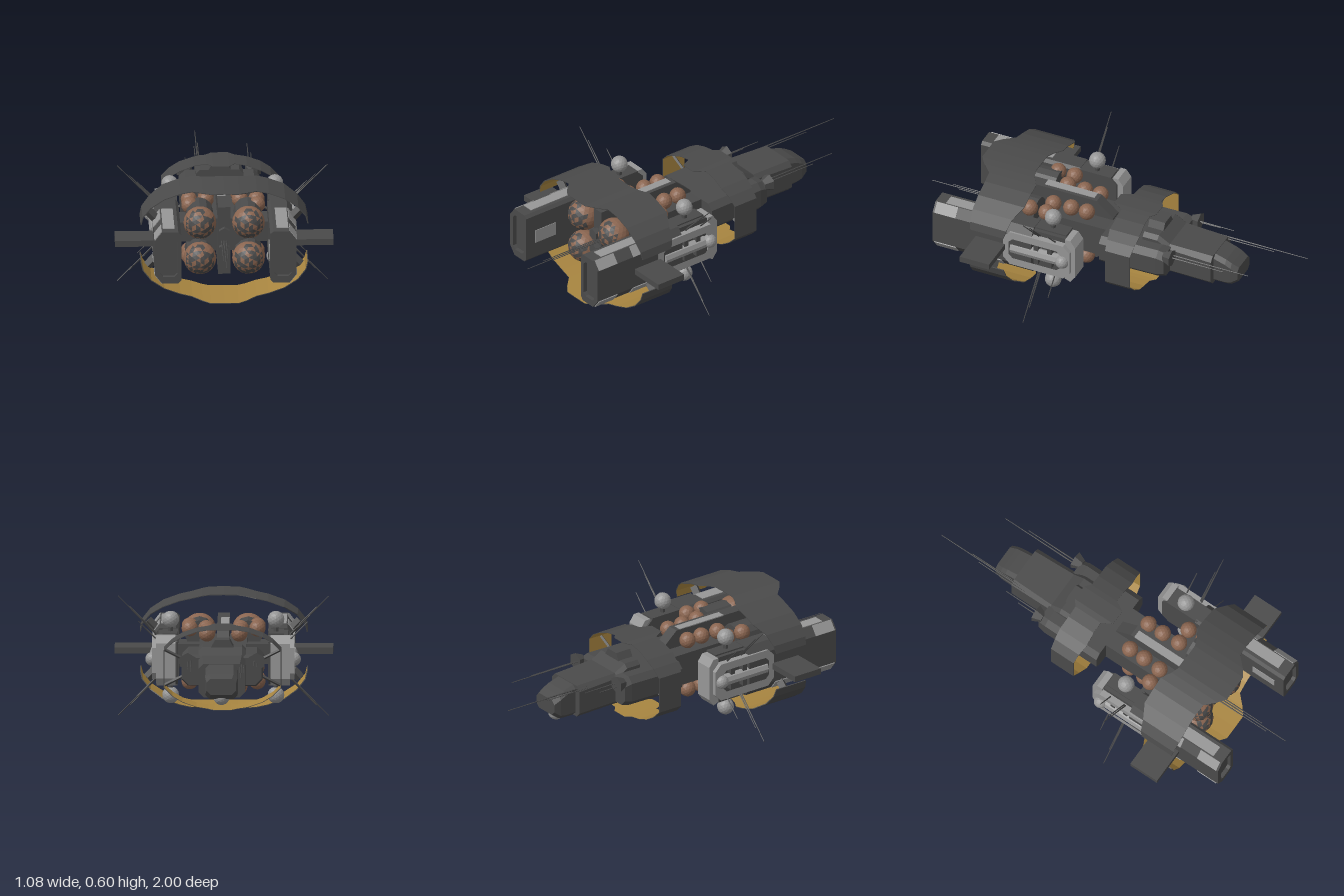
import * as THREE from 'three';

const mat = (name, color) => Object.assign(new THREE.MeshStandardMaterial({ color, flatShading: true }), { name });
const MID = 0.307; // height of the ship's long axis

export function createModel() {
  const dark = mat('dark hull', 0x4a4a4a);
  const grey = mat('light grey panel', 0x969696);
  const brown = mat('brown tank', 0x8a6550);
  const gold = mat('gold lining', 0xa88540);
  const ship = new THREE.Group();
  ship.name = 'spaceship';

  const add = (name, geo, material, parent = ship) => {
    const m = new THREE.Mesh(geo, material);
    m.name = name;
    parent.add(m);
    return m;
  };
  // box given by its limits
  const box = (name, material, x0, x1, y0, y1, z0, z1, parent) =>
    add(name, new THREE.BoxGeometry(x1 - x0, y1 - y0, z1 - z0)
      .translate((x0 + x1) / 2, (y0 + y1) / 2, (z0 + z1) / 2), material, parent);
  const ball = (name, material, r, x, y, z, parent) =>
    add(name, new THREE.IcosahedronGeometry(r, 2).translate(x, y, z), material, parent);
  // bar between two points
  const bar = (name, material, a, b, r, sides, parent, rEnd = r) => {
    const p = new THREE.Vector3(...a), q = new THREE.Vector3(...b);
    const m = add(name, new THREE.CylinderGeometry(rEnd, r, p.distanceTo(q), sides), material, parent);
    m.position.copy(p).lerp(q, 0.5);
    m.quaternion.setFromUnitVectors(new THREE.Vector3(0, 1, 0), q.sub(p).normalize());
  };
  const extrude = (pts, depth, hole) => {
    const s = new THREE.Shape(pts.map(p => new THREE.Vector2(...p)));
    if (hole) s.holes.push(new THREE.Path(hole.map(p => new THREE.Vector2(...p))));
    return new THREE.ExtrudeGeometry(s, { depth, bevelEnabled: false });
  };
  // outline in (x, y), extruded along z
  const prismZ = (pts, z0, z1, hole) => extrude(pts, z1 - z0, hole).translate(0, 0, z0);
  // outline in (z, y), extruded along x
  const prismX = (pts, x0, x1, hole) => {
    const flip = a => a && a.map(([z, y]) => [-z, y]);
    return extrude(flip(pts), x1 - x0, flip(hole)).rotateY(Math.PI / 2).translate(x0, 0, 0);
  };
  // rectangle with cut corners
  const cutRect = (x0, x1, y0, y1, c) => [[x0 + c, y0], [x1 - c, y0], [x1, y0 + c], [x1, y1 - c],
    [x1 - c, y1], [x0 + c, y1], [x0, y1 - c], [x0, y0 + c]];
  const fromTriangles = pos => {
    const g = new THREE.BufferGeometry();
    g.setAttribute('position', new THREE.Float32BufferAttribute(pos.flat(), 3));
    g.computeVertexNormals();
    return g;
  };
  // octagonal hull through sections [z, halfWidth, y0, y1, cut], z falling
  const loft = secs => {
    const rings = secs.map(([z, w, y0, y1, c]) => cutRect(-w, w, y0, y1, c).map(([x, y]) => [x, y, z]));
    const pos = [], last = rings[rings.length - 1];
    for (let s = 0; s < rings.length - 1; s++) for (let j = 0; j < 8; j++) {
      const k = (j + 1) % 8, A = rings[s], B = rings[s + 1];
      pos.push(A[j], B[j], A[k], A[k], B[j], B[k]);
    }
    for (let j = 1; j < 7; j++) pos.push(rings[0][0], rings[0][j], rings[0][j + 1], last[0], last[j + 1], last[j]);
    return fromTriangles(pos);
  };
  // thin closed shell from half-profile rows [x, y, z0, z1], dark outside and rim, gold inside
  const shield = (name, half) => {
    const rows = [...half].reverse().concat(half.slice(1).map(([x, ...r]) => [-x, ...r]));
    const corners = rows.map(([x, y, z0, z1]) => {
      const h = y - MID, u = x * 0.988, v = h * 0.988;
      return [[x, h, z0], [x, h, z1], [u, v, z0], [u, v, z1]];
    });
    const out = [], inn = [];
    for (let i = 0; i < rows.length - 1; i++) {
      const [a, b, ai, bi] = corners[i], [c, d, ci, di] = corners[i + 1];
      out.push(a, c, b, b, c, d, b, d, di, b, di, bi, a, ci, c, a, ai, ci);
      inn.push(ai, bi, ci, bi, di, ci);
    }
    const [a, b, ai, bi] = corners[0], [c, d, ci, di] = corners[rows.length - 1];
    out.push(a, b, bi, a, bi, ai, c, di, d, c, ci, di);
    for (const turn of [0, Math.PI]) {
      const g = new THREE.Group();
      g.name = name + (turn ? 'Lower' : 'Upper');
      g.position.y = MID;
      g.rotation.z = turn;
      add('outerSkin', fromTriangles(out), dark, g);
      add('goldLining', fromTriangles(inn), gold, g);
      ship.add(g);
    }
  };
  // mirrored copy across x = 0, with the corner order kept outward
  const mirror = (group, name) => {
    const copy = new THREE.Group();
    copy.name = name;
    for (const m of group.children) {
      m.updateMatrix();
      const src = m.geometry.index ? m.geometry.toNonIndexed() : m.geometry.clone();
      const p = src.applyMatrix4(m.matrix).attributes.position, pos = [];
      for (let i = 0; i < p.count; i += 3)
        for (const j of [i, i + 2, i + 1]) pos.push([-p.getX(j), p.getY(j), p.getZ(j)]);
      const geo = fromTriangles(pos);
      if (Array.isArray(m.material)) geo.groups = m.geometry.groups;
      add(m.name, geo, m.material, copy);
    }
    return copy;
  };

  // shields
  shield('rearShield', [[0, 0.592, 0.405, 0.695], [0.07, 0.591, 0.405, 0.695], [0.11, 0.587, 0.39, 0.665],
    [0.16, 0.58, 0.36, 0.615], [0.22, 0.567, 0.36, 0.61], [0.3, 0.538, 0.36, 0.61],
    [0.365, 0.495, 0.395, 0.61], [0.405, 0.445, 0.41, 0.605], [0.415, 0.405, 0.42, 0.6]]);
  shield('foreShield', [[0, 0.508, -0.24, -0.01], [0.04, 0.508, -0.24, -0.01], [0.07, 0.505, -0.215, -0.065],
    [0.13, 0.495, -0.215, -0.065], [0.2, 0.47, -0.22, -0.06], [0.25, 0.44, -0.215, -0.07],
    [0.29, 0.4, -0.21, -0.075], [0.29, MID, -0.21, -0.075]]);

  // forward hull and nose
  add('foreHull', loft([[0, 0.2, 0.235, 0.39, 0.03], [-0.31, 0.2, 0.24, 0.395, 0.03], [-0.35, 0.195, 0.25, 0.385, 0.03]]), dark);
  add('noseHull', loft([[-0.2, 0.117, 0.22, 0.43, 0.02], [-0.28, 0.117, 0.225, 0.43, 0.02], [-0.34, 0.117, 0.23, 0.395, 0.02],
    [-0.57, 0.115, 0.22, 0.387, 0.025]]), dark);
  add('noseTip', loft([[-0.56, 0.08, 0.22, 0.387, 0.02], [-0.63, 0.08, 0.22, 0.365, 0.02],
    [-0.66, 0.08, 0.225, 0.35, 0.02], [-0.695, 0.073, 0.25, 0.33, 0.02]]), dark);
  ball('noseSensor', grey, 0.04, 0, 0.23, -0.63);
  add('cabin', prismZ([[-0.06, 0.42], [0.06, 0.42], [0.035, 0.465], [-0.035, 0.465]], -0.285, -0.2), dark);

  // central body, spine and nozzles
  box('body', dark, -0.117, 0.117, 0.225, 0.39, -0.05, 0.46);
  add('spine', prismX([[0.56, 0.135], [0.56, 0.48], [0.09, 0.48], [0, 0.4], [0, 0.21], [0.09, 0.135]], -0.03, 0.03), dark);
  add('spinePanel', prismZ([[-0.03, 0.478], [0.012, 0.478], [0.012, 0.483], [-0.03, 0.483]], 0.11, 0.38), grey);
  for (const y of [0.35, 0.265]) bar('spineNozzle', dark, [0, y, 0.54], [0, y, 0.59], 0.03, 6);
  box('crossBeam', dark, -0.24, 0.24, 0.265, 0.365, 0.27, 0.44);

  // forward and rear antennas
  for (const [x, y, z0, z1] of [[-0.1, 0.377, -0.5, -1], [-0.11, 0.37, -0.45, -0.77], [-0.092, 0.37, -0.5, -0.82],
    [0.152, 0.375, -0.36, -0.79], [0.167, 0.37, -0.36, -0.66], [-0.16, 0.375, -0.36, -0.57], [-0.172, 0.36, -0.36, -0.49],
    [0, 0.305, 0.55, 1], [-0.012, 0.305, 0.55, 0.89], [0.011, 0.305, 0.55, 0.85]])
    bar('antenna', dark, [x, y, z0], [x, y, z1], 0.004, 4, ship, 0.002);

  // everything paired left and right
  const g = new THREE.Group();
  g.name = 'leftSide';
  bar('antennaBase', dark, [0.17, 0.37, -0.34], [0.17, 0.37, -0.385], 0.025, 6, g, 0.045);

  // rear pod with framed end
  const podOutline = [[0.235, 0.175], [0.315, 0.175], [0.35, 0.22], [0.35, 0.395], [0.315, 0.44], [0.235, 0.44],
    [0.22, 0.425], [0.22, 0.19]];
  add('pod', prismZ(podOutline, 0.3, 0.815), dark, g);
  add('podEndFrame', prismZ(podOutline, 0.815, 0.835, cutRect(0.24, 0.325, 0.21, 0.405, 0.015)), dark, g);
  box('podInnerPanel', grey, 0.217, 0.221, 0.27, 0.34, 0.65, 0.78, g);

  // forward pod with recessed flank
  add('forePod', prismX(cutRect(0.1, 0.44, 0.185, 0.43, 0.03), 0.225, 0.32), dark, g);
  add('forePodNose', prismX([[0.125, 0.195], [0.125, 0.432], [0.095, 0.432], [0.068, 0.395], [0.068, 0.22], [0.095, 0.183]],
    0.235, 0.33), grey, g);
  add('forePodRim', prismX(cutRect(0.09, 0.45, 0.21, 0.405, 0.035), 0.32, 0.352,
    cutRect(0.14, 0.42, 0.25, 0.365, 0.02)), grey, g);
  bar('forePodTube', grey, [0.335, MID, 0.15], [0.335, MID, 0.41], 0.03, 8, g);
  for (const z of [0.2, 0.275, 0.35]) box('forePodClamp', dark, 0.32, 0.349, 0.25, 0.365, z - 0.012, z + 0.012, g);
  ball('flankSensor', grey, 0.035, 0.35, 0.31, 0.13, g);
  box('wing', dark, 0.33, 0.54, 0.292, 0.323, 0.44, 0.6, g);

  // parts mirrored above and below the axis
  for (const up of [1, -1]) {
    const Y = d => MID + up * d;
    const span = (a, b) => [Math.min(Y(a), Y(b)), Math.max(Y(a), Y(b))];
    const edge = [[0.315, Y(0.132)], [0.35, Y(0.087)], [0.353, Y(0.09)], [0.318, Y(0.135)]];
    for (const [z0, z1] of [[0.46, 0.61], [0.71, 0.825]]) add('podEdgePanel', prismZ(edge, z0, z1), grey, g);
    box('podRoofPanel', grey, 0.252, 0.31, ...span(0.13, 0.136), 0.46, 0.78, g);
    box('podRoofBlock', dark, 0.225, 0.3, ...span(0.11, 0.13), 0.13, 0.31, g);
    ball('podSensor', grey, 0.042, 0.26, Y(0.189), 0.22, g);
    bar('sensorStem', dark, [0.26, Y(0.1), 0.22], [0.26, Y(0.16), 0.22], 0.014, 6, g);

    // shield struts and whip antennas
    bar('rearShieldStrut', dark, [0.32, Y(0.083), 0.5], [0.377, Y(0.143), 0.5], 0.024, 4, g);
    bar('foreShieldStrut', dark, [0.15, Y(0.02), -0.14], [0.285, Y(0.088), -0.14], 0.008, 4, g);
    bar('whipAntenna', dark, [0.33, Y(0.105), 0.265], [0.52, Y(0.298), 0.265], 0.004, 4, g, 0.002);
    bar('whipAntenna', dark, [0.33, Y(0.11), 0.258], [0.46, Y(0.245), 0.258], 0.004, 4, g, 0.002);
    bar('whipAntenna', dark, [0.33, Y(0.095), 0.175], [0.42, Y(0.185), 0.175], 0.004, 4, g, 0.002);

    // main tank, patched with dark facets on its rear cap
    const tank = new THREE.IcosahedronGeometry(0.081, 3);
    const tp = tank.attributes.position;
    for (let i = 0; i < tp.count; i += 3) tank.addGroup(i, 3, tp.getZ(i) > 0.035 && (i / 3) % 3 ? 1 : 0);
    add('mainTank', tank.translate(0.12, Y(0.092), 0.55), [brown, dark], g);
    bar('tankSleeve', dark, [0.12, Y(0.092), 0.36], [0.12, Y(0.092), 0.51], 0.07, 12, g);

    // small tanks
    for (const [x, z] of [[0.08, 0.12], [0.08, 0.205], [0.085, 0.3], [0.167, 0.3], [0.167, 0.39]])
      ball('smallTank', brown, 0.041, x, Y(0.132), z, g);
  }
  ship.add(g, mirror(g, 'rightSide'));
  return ship;
}
